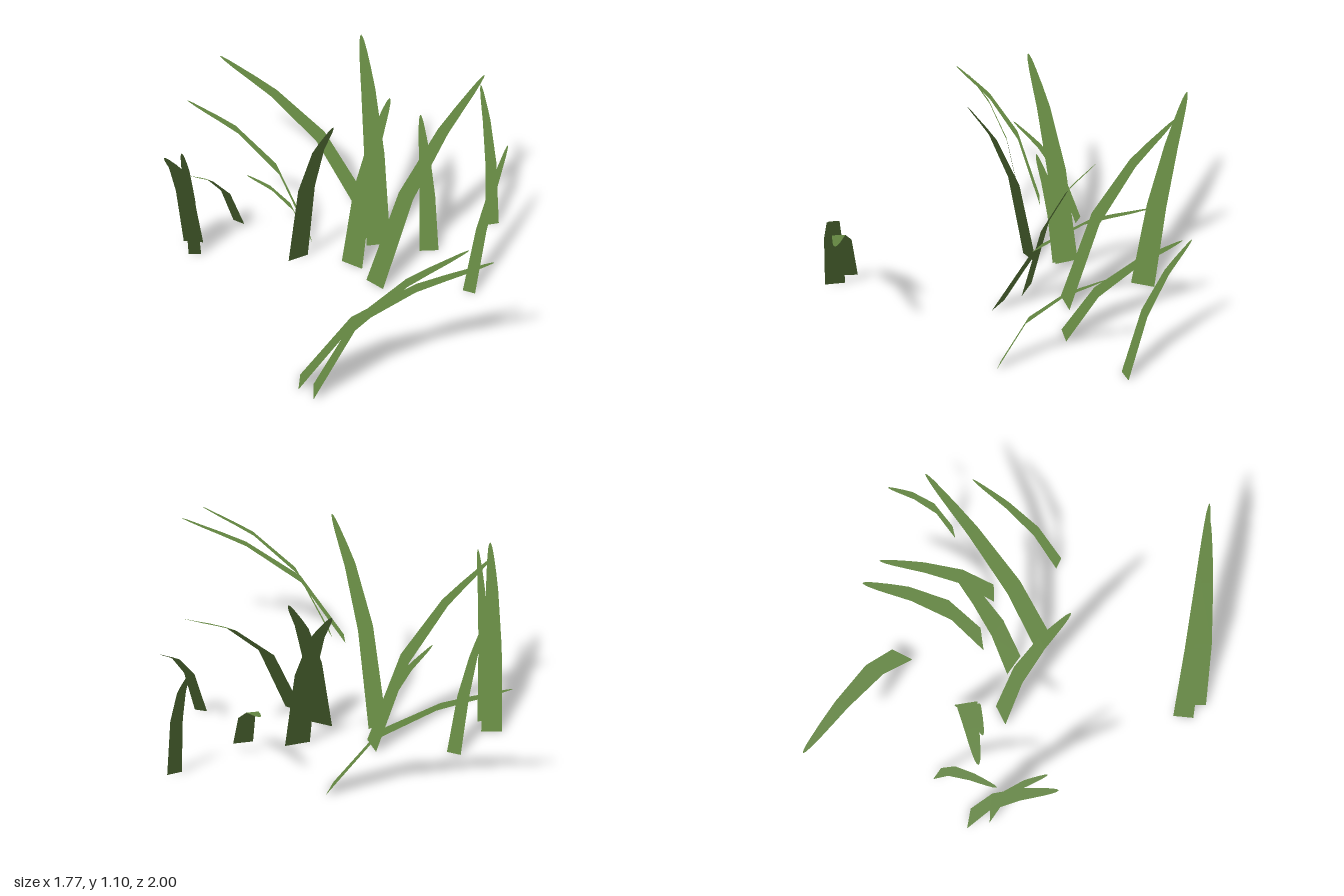
import * as THREE from 'three';

// Blade bend profile: [reach fraction, height fraction, width fraction]
const PROFILE = [
  [0, 0, 1], [0.275, 0.495, 0.83], [0.61, 0.785, 0.58],
  [0.76, 0.87, 0.45], [0.88, 0.934, 0.32], [0.95, 0.973, 0.21], [0.985, 0.992, 0.11], [1, 1, 0.02],
];

// Base x, base z, tip x, tip z, height, base width
const BLADES = [
  [0.033, -0.728, -0.82, -1.0, 0.73, 0.13],
  [0.205, -0.303, 0.022, -0.85, 1.025, 0.137],
  [0.084, -0.097, 0.235, -0.44, 0.885, 0.132],
  [0.492, -0.29, 0.365, -0.885, 0.51, 0.106],
  [0.23, 0.055, 0.722, -0.68, 0.93, 0.12],
  [0.825, -0.59, 0.697, -0.89, 0.737, 0.078],
  [0.741, 0.043, 0.88, -0.47, 0.625, 0.07],
  [-0.612, -0.395, -0.775, -0.02, 0.56, 0.076],
  [-0.828, -0.175, -0.82, 0.302, 0.89, 0.112],
  [-0.795, -0.065, -0.75, 0.235, 0.88, 0.07],
  [-0.185, -0.32, -0.79, -0.1, 0.985, 0.13],
  [-0.19, -0.283, -0.5, -0.148, 0.507, 0.09],
  [-0.22, -0.115, 0.025, 0.21, 1.095, 0.12],
  [-0.045, 0.885, 0.88, 0.81, 0.81, 0.112],
  [0.037, 0.945, 0.76, 0.82, 0.875, 0.11],
];

// Flat tapering strip that bends over towards its tip
function bladeGeometry([bx, bz, tx, tz, height, width]) {
  const dx = tx - bx, dz = tz - bz, reach = Math.hypot(dx, dz);
  const sx = -dz / reach, sz = dx / reach;
  const positions = [], normals = [], index = [];
  PROFILE.forEach(([r, h, w], i) => {
    for (const side of [-0.5, 0.5]) {
      const o = side * w * width;
      positions.push(bx + dx * r + sx * o, height * h, bz + dz * r + sz * o);
      normals.push(0, 1, 0); // upright normals give even foliage shading
    }
    if (i > 0) {
      const a = 2 * i - 2;
      index.push(a, a + 2, a + 1, a + 1, a + 2, a + 3);
    }
  });
  const geometry = new THREE.BufferGeometry();
  geometry.setAttribute('position', new THREE.Float32BufferAttribute(positions, 3));
  geometry.setAttribute('normal', new THREE.Float32BufferAttribute(normals, 3));
  geometry.setIndex(index);
  return geometry;
}

export function createModel() {
  const group = new THREE.Group();
  group.name = 'grassPatch';
  const grass = new THREE.MeshStandardMaterial({ color: 0x628440, side: THREE.DoubleSide });
  grass.name = 'grassGreen';

  BLADES.forEach((blade, i) => {
    const mesh = new THREE.Mesh(bladeGeometry(blade), grass);
    mesh.name = `grassBlade${i + 1}`;
    group.add(mesh);
  });
  return group;
}
